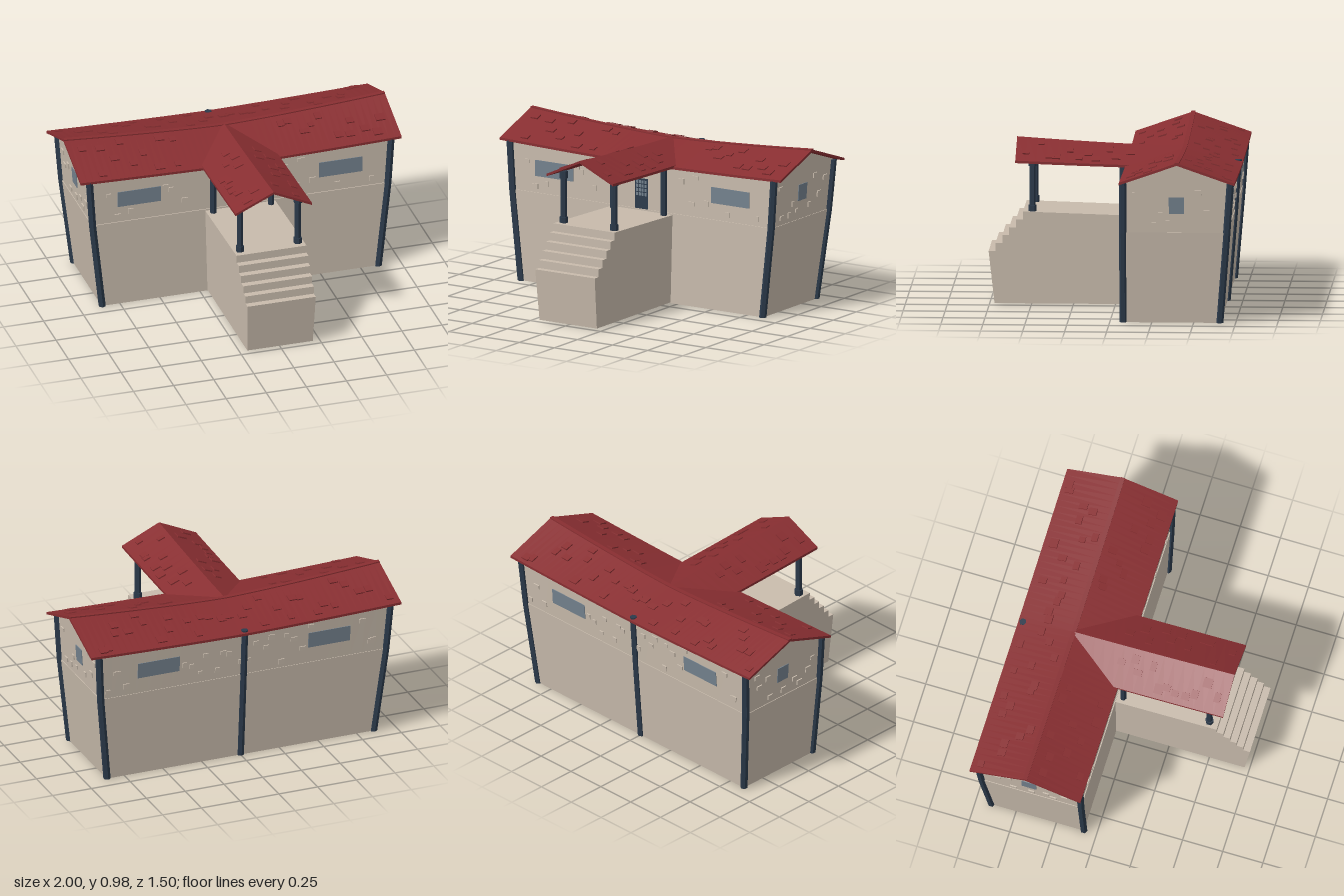
import * as THREE from 'three';

const mat = (name, color) => Object.assign(new THREE.MeshStandardMaterial({ color }), { name });
const lerp = THREE.MathUtils.lerp;

// Walls lean outwards: half width and rear depth by height
const halfW = y => (y < 0.55 ? lerp(0.86, 0.92, y / 0.55) : 0.92 + (y - 0.55) * 0.066);
const rearZ = y => (y < 0.55 ? lerp(-0.655, -0.7, y / 0.55) : -0.7 - (y - 0.55) * 0.073);
const FRONT = -0.085, RIDGE = -0.405, RUN = 0.345;

// Sagging roof heights of the hall and of the porch
function hallY(x, z) {
  const s = Math.pow(Math.abs(x), 1.4);
  return lerp(0.925 + 0.055 * s, 0.838 + 0.022 * s, Math.abs(z - RIDGE) / RUN);
}
function porchY(x, z) {
  const s = Math.pow(Math.max(0, z + 0.405), 1.4);
  return 0.004 + lerp(0.925 + 0.05 * s, 0.838 + 0.027 * s, Math.abs(x) / 0.238);
}

// Move the vertices of a geometry by a rule and facet it
function warp(geo, rule) {
  const g = geo.index ? geo.toNonIndexed() : geo;
  const p = g.attributes.position, v = new THREE.Vector3();
  for (let i = 0; i < p.count; i++) {
    v.fromBufferAttribute(p, i);
    rule(v);
    p.setXYZ(i, v.x, v.y, v.z);
  }
  g.computeVertexNormals();
  return g;
}

// Extrude a (z, y) profile along x, from -half to half
function alongX(points, half, steps) {
  const shape = new THREE.Shape(points.map(p => new THREE.Vector2(...p)));
  const g = new THREE.ExtrudeGeometry(shape, { depth: half * 2, steps, bevelEnabled: false });
  return g.translate(0, 0, -half).rotateY(-Math.PI / 2);
}

export function createModel() {
  const model = new THREE.Group();
  model.name = 'hall';
  const wall = mat('plaster', 0xc8bbac), red = mat('roofRed', 0x882e31);
  const wood = mat('darkTimber', 0x2b3a4b), glass = mat('glass', 0x74828e);

  let seed = 7;
  const rand = (a, b) => {
    seed = (seed * 16807) % 2147483647;
    return a + (b - a) * seed / 2147483647;
  };
  const add = (name, geo, material, parent = model) => {
    const m = new THREE.Mesh(geo, material);
    m.name = name;
    parent.add(m);
    return m;
  };
  const group = name => {
    const g = new THREE.Group();
    g.name = name;
    model.add(g);
    return g;
  };

  // Lower wall, slightly proud of the upper wall
  add('lowerWall', warp(new THREE.BoxGeometry(2, 0.55, 1), v => {
    v.y += 0.275;
    v.x *= halfW(v.y) + 0.004;
    v.z = v.z > 0 ? FRONT + 0.006 : rearZ(v.y) - 0.004;
  }), wall);

  // Upper wall with gables, following the sagging roof
  const profile = [[FRONT, 0.545], [FRONT, 0.85], [RIDGE, 0.97], [rearZ(0.85), 0.85], [rearZ(0.545), 0.545]];
  add('upperWall', warp(alongX(profile, 1, 24), v => {
    if (v.y > 0.8) v.y = hallY(v.x * 0.94, v.z) - 0.012;
    v.x *= halfW(v.y);
  }), wall);

  // Gable wall under the porch roof
  const tri = new THREE.Shape([[-0.2, 0.82], [0.2, 0.82], [0.2, 0.845], [0, 0.92], [-0.2, 0.845]]
    .map(p => new THREE.Vector2(...p)));
  add('porchGable', new THREE.ExtrudeGeometry(tri, { depth: 0.006, bevelEnabled: false })
    .translate(0, 0, FRONT), wall);

  // Roof slabs
  const slab = (name, nu, nv, place) =>
    add(name, warp(new THREE.BoxGeometry(2, 1, 1, nu, 1, nv), v => {
      const t = v.y > 0 ? 0 : 0.015;
      place(v, v.z + 0.5);
      v.y -= t;
    }), red);
  slab('roofRear', 50, 1, (v, k) => {
    v.z = lerp(RIDGE - RUN, RIDGE, k);
    v.y = hallY(v.x, v.z);
  });
  slab('roofFront', 50, 1, (v, k) => {
    const edge = RIDGE + RUN * Math.min(1, Math.abs(v.x) / 0.2); // opening below the porch roof
    v.z = lerp(RIDGE, edge, k);
    v.y = hallY(v.x, v.z);
  });
  slab('porchRoof', 2, 16, (v, k) => {
    v.x *= 0.238;
    v.z = lerp(-0.4, 0.595, k);
    v.y = porchY(v.x, v.z);
  });

  // Ridge caps
  add('ridgeCap', warp(new THREE.BoxGeometry(2, 0.012, 0.026, 30, 1, 1), v => {
    v.y += hallY(v.x, RIDGE) - 0.003;
    v.z += RIDGE;
  }), red);

  // Raised roof tiles
  const tiles = group('roofTiles');
  const tile = (x, y, z, rx, rz) => {
    const w = rand(0.035, 0.06);
    const m = add('roofTile', new THREE.BoxGeometry(w, 0.014, rand(0.035, 0.055)), red, tiles);
    m.position.set(x, y, z);
    m.rotation.set(rx, 0, rz);
  };
  const pitch = Math.atan(0.1 / RUN), porchPitch = Math.atan(0.095 / 0.238);
  for (const s of [-1, 1]) {
    for (let i = 0; i < 32; i++) {
      const x = -0.95 + 1.9 * (i + rand(0.1, 0.9)) / 32;
      const z = RIDGE + s * rand(0.05, 0.31);
      if (s > 0 && Math.abs(x) < 0.27) continue;
      tile(x, hallY(x, z), z, s * pitch, 0);
    }
    for (let i = 0; i < 11; i++) {
      const x = s * rand(0.05, 0.2), z = -0.1 + 0.65 * (i + rand(0.2, 0.8)) / 11;
      tile(x, porchY(x, z), z, 0, -s * porchPitch);
    }
  }

  // Porch platform with steps
  const stairs = [[-0.1, 0.005], [-0.1, 0.54], [0.55, 0.56]];
  for (let i = 0; i < 5; i++) {
    const z = 0.55 + i * 0.041, y = 0.512 - i * 0.048;
    stairs.push([z, y], [z + 0.041, y]);
  }
  stairs.push([0.72, 0.005]);
  add('porchSteps', warp(alongX(stairs, 1, 1), v => { v.x *= lerp(0.204, 0.218, v.y / 0.55); }), wall);

  // Bent wall posts at the corners and the middle of the rear
  const posts = group('posts');
  for (const [s, back] of [[-1, 0], [1, 0], [-1, 1], [1, 1], [0, 1]]) {
    const g = new THREE.CylinderGeometry(0.022, 0.022, 0.85, 6, 14);
    add('wallPost', warp(g, v => {
      v.y += 0.425;
      const dx = v.x, dz = v.z;
      v.x = s * halfW(v.y) + dx;
      v.z = (back ? rearZ(v.y) : -0.08) + dz;
    }), wood, posts);
  }

  // Porch posts with a foot and a head
  const cyl = (r, y0, y1) => warp(new THREE.CylinderGeometry(r, r, y1 - y0, 6), v => { v.y += (y0 + y1) / 2; });
  for (const s of [-1, 1]) for (const [z, y0, y1] of [[0.495, 0.555, 0.875], [-0.042, 0.54, 0.86]]) {
    const p = new THREE.Group();
    p.name = 'porchPost';
    p.position.set(s * 0.18, 0, z);
    posts.add(p);
    add('shaft', cyl(0.019, y0, y1), wood, p);
    if (z > 0) {
      add('foot', cyl(0.025, y0, y0 + 0.04), wood, p);
      add('head', cyl(0.025, 0.83, y1), wood, p);
    }
  }

  // Put a thin plate on a wall: side 0 front, 1 left, 2 rear, 3 right
  const onWall = (name, side, a, y, w, h, d, material, parent) => {
    const m = add(name, new THREE.BoxGeometry(w, h, d), material, parent);
    const sx = side === 1 ? 1 : -1;
    if (side % 2) m.position.set(sx * halfW(y), y, a);
    else m.position.set(a, y, side ? rearZ(y) : FRONT);
    m.rotation.order = 'YXZ';
    m.rotation.set(side ? 0.07 : 0, side * Math.PI / 2, 0);
  };

  // Windows
  const windows = group('windows');
  for (const s of [-1, 1]) {
    onWall('frontWindow', 0, s * 0.627, 0.7, 0.27, 0.098, 0.008, glass, windows);
    onWall('rearWindow', 2, s * 0.55, 0.7, 0.27, 0.098, 0.008, glass, windows);
    onWall('endWindow', s > 0 ? 1 : 3, -0.4, 0.715, 0.09, 0.1, 0.008, glass, windows);
  }

  // Door with small panes
  const door = group('door');
  onWall('doorLeaf', 0, -0.005, 0.643, 0.092, 0.185, 0.009, wood, door);
  for (let i = 0; i < 4; i++) for (let j = 0; j < 4; j++)
    onWall('doorPane', 0, -0.034 + i * 0.0195, 0.64 + j * 0.025, 0.014, 0.019, 0.012, glass, door);

  // Stones standing out of the upper wall
  const stones = group('wallStones');
  [24, 11, 34, 11].forEach((n, side) => {
    for (let i = 0; i < n; i++) {
      const end = side % 2, t = (i + rand(0.1, 0.9)) / n;
      const a = end ? lerp(-0.66, -0.13, t) : lerp(-0.88, 0.88, t), y = rand(0.585, 0.8);
      const gap = end ? Math.abs(a + 0.4) - 0.045 : Math.abs(Math.abs(a) - (side ? 0.55 : 0.627)) - 0.135;
      if (gap < 0.025 && y > 0.62 && y < 0.79) continue;
      if (side === 0 && Math.abs(a) < 0.25) continue;
      onWall('stone', side, a, y, rand(0.025, 0.045), rand(0.022, 0.036), 0.014, wall, stones);
    }
  });
  return model;
}
